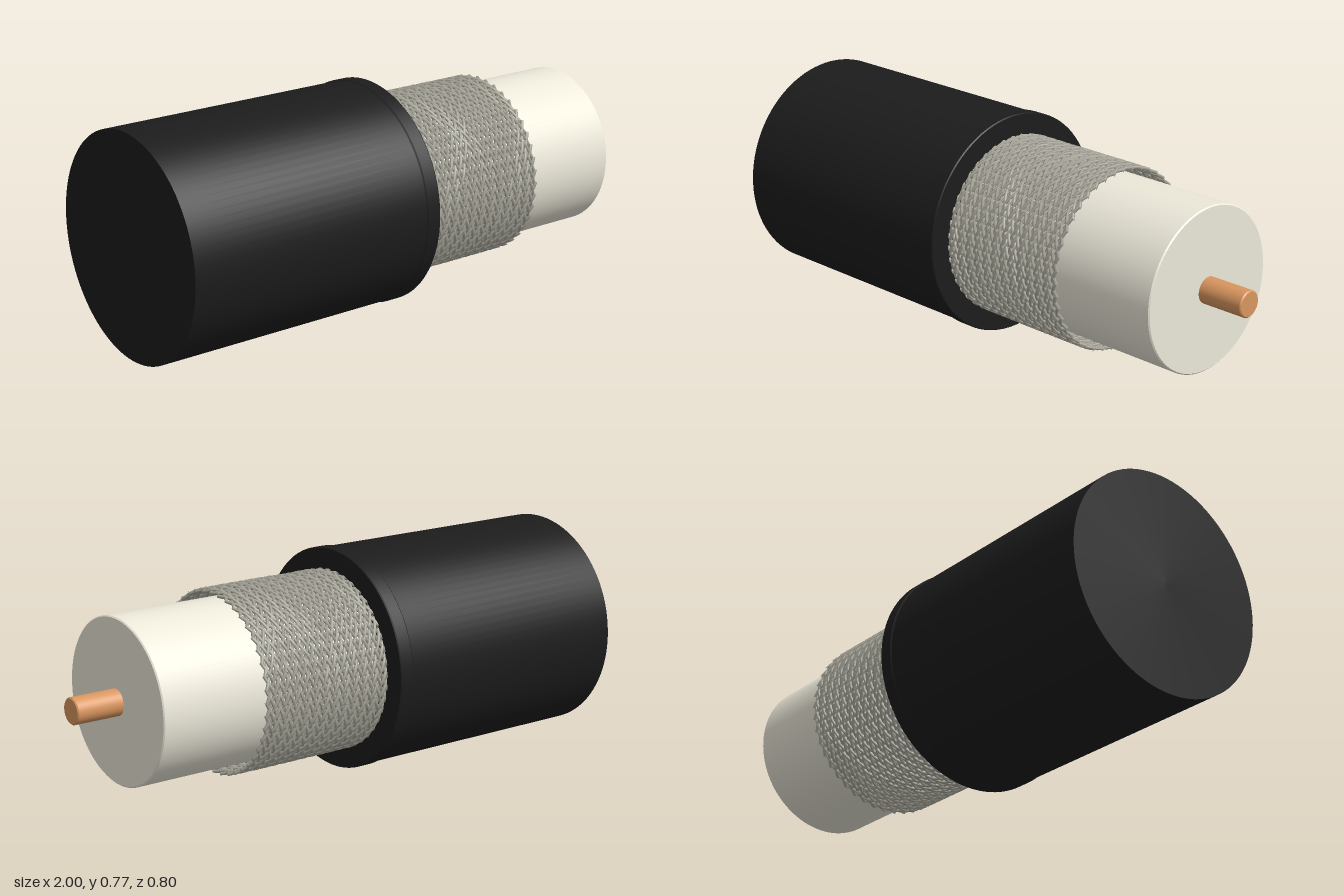
import * as THREE from 'three';

const material = (color) => new THREE.MeshStandardMaterial({ color });

// Solid turned around the x axis; profile is [position along axis, radius]
function turned(name, profile, color) {
  const points = profile.map(([x, r]) => new THREE.Vector2(r, x));
  // Each straight span is its own lathe so that the edges stay sharp
  const part = new THREE.Group();
  part.name = name;
  const mat = material(color);
  for (let i = 0; i < points.length - 1; i++) {
    const geometry = new THREE.LatheGeometry([points[i], points[i + 1]], 96);
    geometry.rotateZ(-Math.PI / 2);
    const mesh = new THREE.Mesh(geometry, mat);
    mesh.name = name + 'Surface';
    part.add(mesh);
  }
  return part;
}

// One braid wire: a helix that weaves slightly in and out
class BraidWire extends THREE.Curve {
  constructor(phase, direction, x0, x1, radius) {
    super();
    Object.assign(this, { phase, direction, x0, x1, radius });
  }
  getPoint(t, target = new THREE.Vector3()) {
    const turn = 0.57 * Math.PI * 2 * t;
    const a = this.phase + this.direction * turn;
    const r = this.radius + this.direction * 0.003 * Math.cos(turn * 22);
    return target.set(this.x0 + (this.x1 - this.x0) * t, r * Math.cos(a), r * Math.sin(a));
  }
}

export function createModel() {
  const cable = new THREE.Group();
  cable.name = 'coaxialCable';

  // Outer jacket with a slightly raised lip at the stripped end
  cable.add(turned('jacket', [
    [-0.985, 0], [-0.985, 0.381], [-0.085, 0.381], [-0.08, 0.385],
    [-0.034, 0.385], [-0.03, 0.382], [-0.03, 0],
  ], 0x1c1c1c));

  // Insulating core
  cable.add(turned('insulator', [
    [-0.03, 0.28], [0.826, 0.28], [0.83, 0.276], [0.83, 0],
  ], 0xece9da));

  // Centre conductor
  cable.add(turned('conductor', [
    [0.82, 0.045], [0.993, 0.045], [0.997, 0.041], [0.997, 0],
  ], 0xd9965f));

  // Woven shield standing clear of the core
  const braid = new THREE.Group();
  braid.name = 'braidedShield';
  const braidMaterial = material(0xa8a69a);
  const count = 44;
  for (const direction of [1, -1]) {
    for (let i = 0; i < count; i++) {
      const wire = new BraidWire((i / count) * Math.PI * 2, direction, -0.035, 0.46, 0.306);
      const mesh = new THREE.Mesh(new THREE.TubeGeometry(wire, 72, 0.006, 5), braidMaterial);
      mesh.name = 'braidWire';
      braid.add(mesh);
    }
  }
  cable.add(braid);

  // The cable lies at a slight angle to the x axis
  cable.rotation.y = -0.039;
  cable.position.set(0, 0.385, 0.014);

  const model = new THREE.Group();
  model.name = 'cableModel';
  model.add(cable);
  return model;
}
